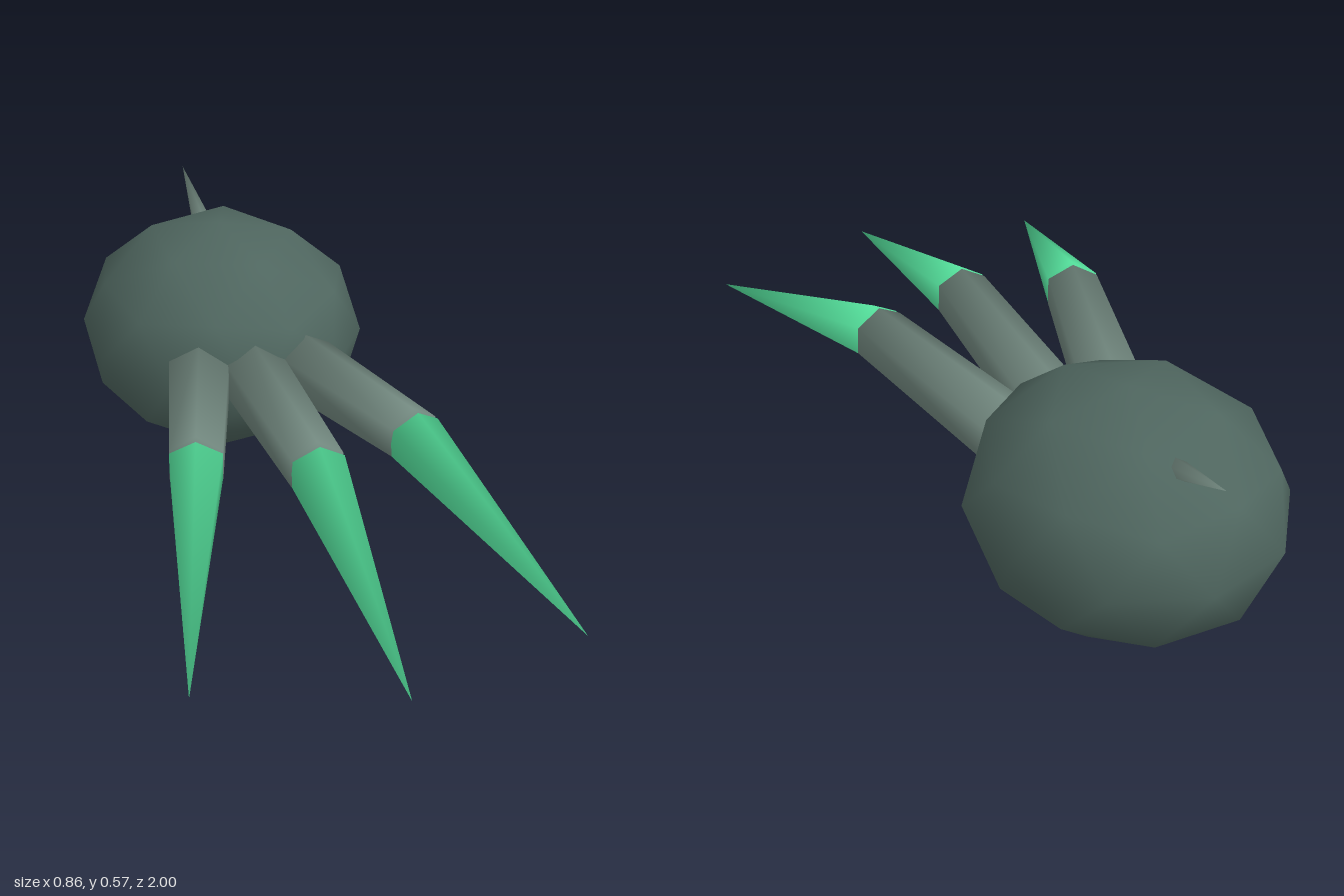
import * as THREE from 'three';

const material = (name, color) => {
  const m = new THREE.MeshStandardMaterial({ color });
  m.name = name;
  return m;
};

// Tapered six-sided limb from a to b with softly shaded, closed ends
function limb(name, a, b, ra, rb, mat) {
  const p = new THREE.Vector3(...a), q = new THREE.Vector3(...b);
  const geo = new THREE.CylinderGeometry(rb, ra, p.distanceTo(q), 6);
  const pos = geo.attributes.position, n = new THREE.Vector3();
  for (let i = 0; i < pos.count; i++) {
    const end = Math.sign(pos.getY(i));
    const r = (end > 0 ? rb : ra) || 1;
    n.set(pos.getX(i) / r, end * 0.8, pos.getZ(i) / r).normalize();
    geo.attributes.normal.setXYZ(i, n.x, n.y, n.z);
  }
  geo.rotateX(Math.PI / 2);
  const mesh = new THREE.Mesh(geo, mat);
  mesh.name = name;
  mesh.position.copy(p).add(q).multiplyScalar(0.5);
  mesh.lookAt(q);
  return mesh;
}

export function createModel() {
  const model = new THREE.Group();
  model.name = 'clawedFoot';
  const bodyMat = material('dark grey green', 0x4f665f);
  const limbMat = material('light grey green', 0x72887f);
  const clawMat = material('bright green', 0x52db98);

  // Rounded body: icosphere with one corner pointing up, stretched
  const ball = new THREE.IcosahedronGeometry(1, 1);
  ball.rotateZ(-Math.atan(2 / (1 + Math.sqrt(5))));
  ball.scale(0.355, 0.286, 0.395);
  const body = new THREE.Mesh(ball, bodyMat);
  body.name = 'body';
  body.position.set(0, 0.289, -0.585);
  model.add(body);

  // Three toes, each ending in a long claw
  const toes = [
    { name: 'middle', base: [0, 0.30, -0.33], joint: [0, 0.34, 0.31], tip: [0, 0.18, 1.0] },
  ];
  for (const [side, s] of [['left', 1], ['right', -1]]) {
    toes.push({
      name: side, base: [s * 0.119, 0.30, -0.33],
      joint: [s * 0.257, 0.34, 0.215], tip: [s * 0.432, 0.18, 0.872],
    });
  }
  for (const t of toes) {
    model.add(limb(t.name + 'Toe', t.base, t.joint, 0.087, 0.07, limbMat));
    model.add(limb(t.name + 'Claw', t.joint, t.tip, 0.07, 0, clawMat));
  }

  // Small spur on the upper back
  model.add(limb('backSpur', [0, 0.478, -0.75], [0, 0.565, -1.0], 0.03, 0, limbMat));
  return model;
}
